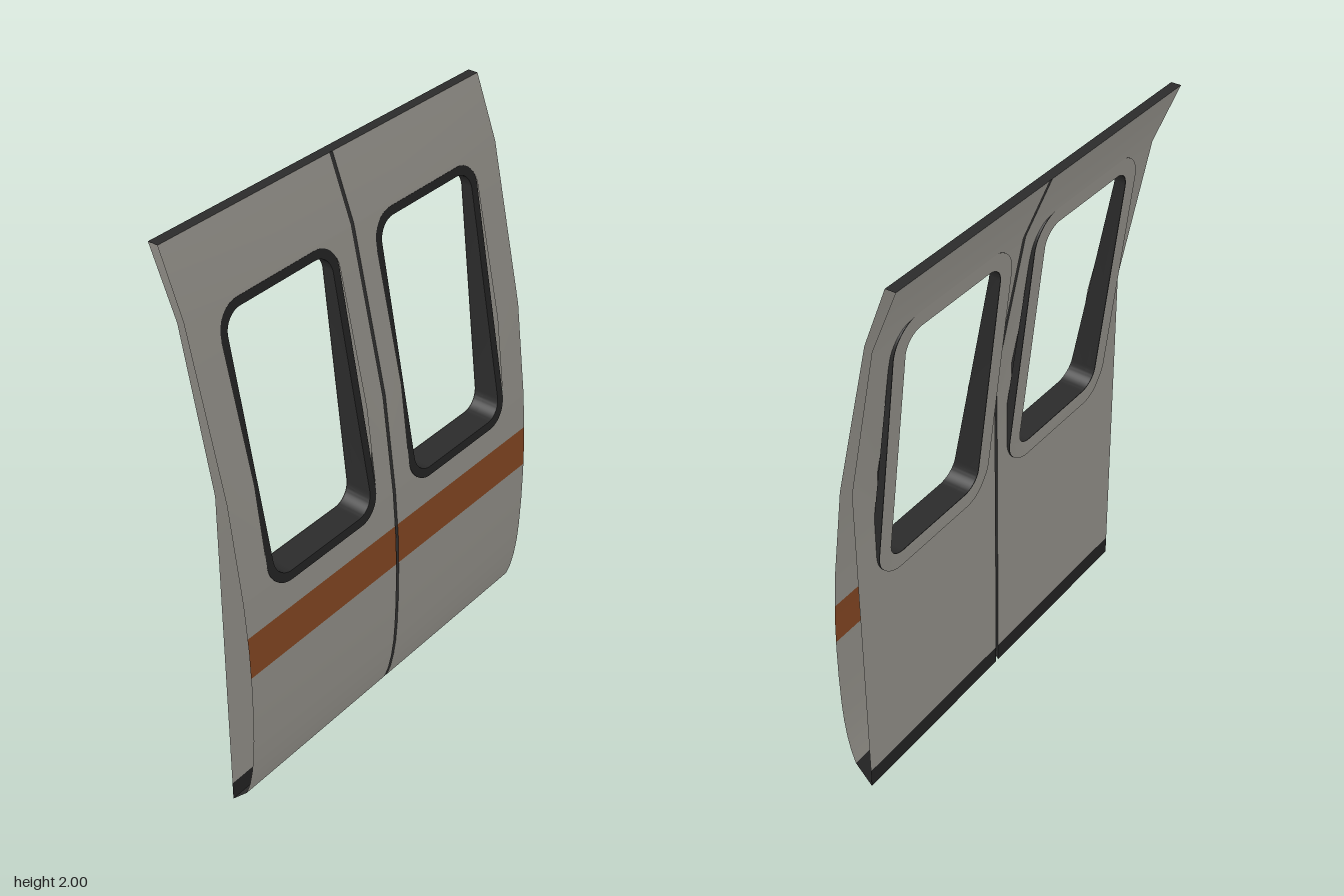
import * as THREE from 'three';
import { toCreasedNormals } from 'three/addons/utils/BufferGeometryUtils.js';

const paint = (name, color) => {
  const m = new THREE.MeshStandardMaterial({ color, side: THREE.DoubleSide });
  m.name = name;
  return m;
};

// Side profiles as [y, z]
const FRONT = [[0, 0.045], [0.07, 0.108], [0.12, 0.124], [0.18, 0.136], [0.25, 0.145], [0.33, 0.15],
  [0.44, 0.153], [0.57, 0.153], [0.7, 0.149], [0.88, 0.135], [1.23, 0.09], [1.79, -0.035], [2, -0.115]];
const BACK = [[0, 0.045], [1.24, 0.045], [1.78, -0.06], [2, -0.15]];
const X0 = 0.006, X1 = 0.712;

// Window: centre, half size and corner radius
const WIN = { x: 0.34, y: 1.315, hw: 0.255, hh: 0.463, r: 0.09 };

function depthAt(profile, y) {
  for (let i = 1; i < profile.length; i++) {
    const [ya, za] = profile[i - 1], [yb, zb] = profile[i];
    if (y <= yb) return za + (zb - za) * (y - ya) / (yb - ya);
  }
  return profile[profile.length - 1][1];
}

// Half width of the window hole at height y
function holeHalf(y) {
  const d = Math.abs(y - WIN.y) - (WIN.hh - WIN.r);
  if (d <= 0) return WIN.hw;
  return WIN.hw - WIN.r + Math.sqrt(Math.max(0, WIN.r * WIN.r - d * d));
}

// Bent door skin between two heights, leaving the window open
function skin(profile, from, to, flip) {
  const rows = [from, to, ...profile.map(p => p[0])];
  for (let i = 0; i <= 8; i++) {
    const d = WIN.hh - WIN.r + WIN.r * Math.sin(i * Math.PI / 16);
    rows.push(WIN.y - d, WIN.y + d);
  }
  const ys = [...new Set(rows)].filter(y => y >= from && y <= to).sort((a, b) => a - b);
  const pos = [];
  const quad = (ya, yb, la, ra, lb, rb) => {
    const a = [la, ya], b = [ra, ya], c = [rb, yb], d = [lb, yb];
    const corners = flip ? [a, c, b, a, d, c] : [a, b, c, a, c, d];
    for (const [x, y] of corners) pos.push(x, y, depthAt(profile, y));
  };
  for (let i = 1; i < ys.length; i++) {
    const ya = ys[i - 1], yb = ys[i];
    if (yb - ya < 1e-6) continue;
    if (Math.abs((ya + yb) / 2 - WIN.y) < WIN.hh) {
      const a = holeHalf(ya), b = holeHalf(yb);
      quad(ya, yb, X0, WIN.x - a, X0, WIN.x - b);
      quad(ya, yb, WIN.x + a, X1, WIN.x + b, X1);
    } else quad(ya, yb, X0, X1, X0, X1);
  }
  const g = new THREE.BufferGeometry();
  g.setAttribute('position', new THREE.Float32BufferAttribute(pos, 3));
  return toCreasedNormals(g, 0.4);
}

// Rounded rectangle around the window, grown by e
function outline(path, e) {
  const w = WIN.hw + e, h = WIN.hh + e, r = WIN.r + e * 0.8, { x, y } = WIN;
  path.moveTo(x + w, y - h + r);
  path.absarc(x + w - r, y + h - r, r, 0, Math.PI / 2);
  path.absarc(x - w + r, y + h - r, r, Math.PI / 2, Math.PI);
  path.absarc(x - w + r, y - h + r, r, Math.PI, Math.PI * 1.5);
  path.absarc(x + w - r, y - h + r, r, Math.PI * 1.5, Math.PI * 2);
  return path;
}

const frameFront = y => 0.139 - 0.19 * (y - 0.88);
const frameBack = y => Math.min(0.045, 0.045 - 0.118 * (y - 0.88)) - 0.004;

// Ring around the window, spanning part of the frame depth (0 back, 1 front)
function ring(grow, t0, t1) {
  const shape = outline(new THREE.Shape(), grow);
  shape.holes.push(outline(new THREE.Path(), -0.029));
  const g = new THREE.ExtrudeGeometry(shape, { depth: 1, bevelEnabled: false, curveSegments: 8 });
  const p = g.attributes.position;
  for (let i = 0; i < p.count; i++) {
    const y = p.getY(i), t = t0 + (t1 - t0) * p.getZ(i), b = frameBack(y);
    p.setZ(i, b + (frameFront(y) - b) * t);
  }
  return toCreasedNormals(g, 0.6);
}

// Flat plate covering the back of the window flange
function backPlate() {
  const shape = outline(new THREE.Shape(), 0.025);
  shape.holes.push(outline(new THREE.Path(), -0.029));
  const g = new THREE.ShapeGeometry(shape, 8);
  const p = g.attributes.position;
  for (let i = 0; i < p.count; i++) p.setZ(i, frameBack(p.getY(i)) - 0.002);
  const index = g.index.array;
  for (let i = 0; i < index.length; i += 3) [index[i], index[i + 1]] = [index[i + 1], index[i]];
  g.computeVertexNormals();
  return g;
}

// Rubber wall closing the meeting edge of a leaf
function meetingEdge() {
  const pts = [...FRONT, ...BACK.slice(1).reverse()].map(([y, z]) => new THREE.Vector2(-z, y));
  return new THREE.ShapeGeometry(new THREE.Shape(pts)).rotateY(Math.PI / 2)
    .rotateY(Math.PI).scale(1, 1, 1).rotateY(Math.PI).translate(X0, 0, 0);
}

// Mirror a geometry across x = 0, keeping its faces outward
function mirrored(geo) {
  const g = geo.index ? geo.toNonIndexed() : geo.clone();
  for (const key of ['position', 'normal']) {
    const a = g.attributes[key];
    for (let i = 0; i < a.count; i += 3) {
      const v = [0, 2, 1].map(k => [-a.getX(i + k), a.getY(i + k), a.getZ(i + k)]);
      v.forEach((c, k) => a.setXYZ(i + k, ...c));
    }
  }
  return g;
}

export function createModel() {
  const grey = paint('door grey', 0xb0ada5);
  const orange = paint('stripe orange', 0x9e562b);
  const black = paint('rubber black', 0x2b2b2b);
  const model = new THREE.Group();
  model.name = 'doubleDoor';

  const parts = [
    ['frontSill', skin(FRONT, 0, 0.07), black],
    ['frontLowerPanel', skin(FRONT, 0.07, 0.595), grey],
    ['stripe', skin(FRONT, 0.595, 0.75), orange],
    ['frontUpperPanel', skin(FRONT, 0.75, 2), grey],
    ['backSill', skin(BACK, 0, 0.07, true), black],
    ['backPanel', skin(BACK, 0.07, 2, true), grey],
    ['windowFrame', ring(0, 0, 1), black],
    ['windowFlange', ring(0.025, 0, 0.35), black],
    ['windowBackPlate', backPlate(), grey],
    ['meetingEdge', meetingEdge(), black],
  ];
  for (const side of ['left', 'right']) {
    const leaf = new THREE.Group();
    leaf.name = side + 'Leaf';
    for (const [name, geo, mat] of parts) {
      const mesh = new THREE.Mesh(side === 'left' ? geo : mirrored(geo), mat);
      mesh.name = name;
      leaf.add(mesh);
    }
    model.add(leaf);
  }

  // Strip closing the top of both leaves
  const cap = new THREE.Mesh(new THREE.PlaneGeometry(X1 * 2, 0.035).rotateX(-Math.PI / 2), black);
  cap.name = 'topCap';
  cap.position.set(0, 2, -0.1325);
  model.add(cap);
  return model;
}
